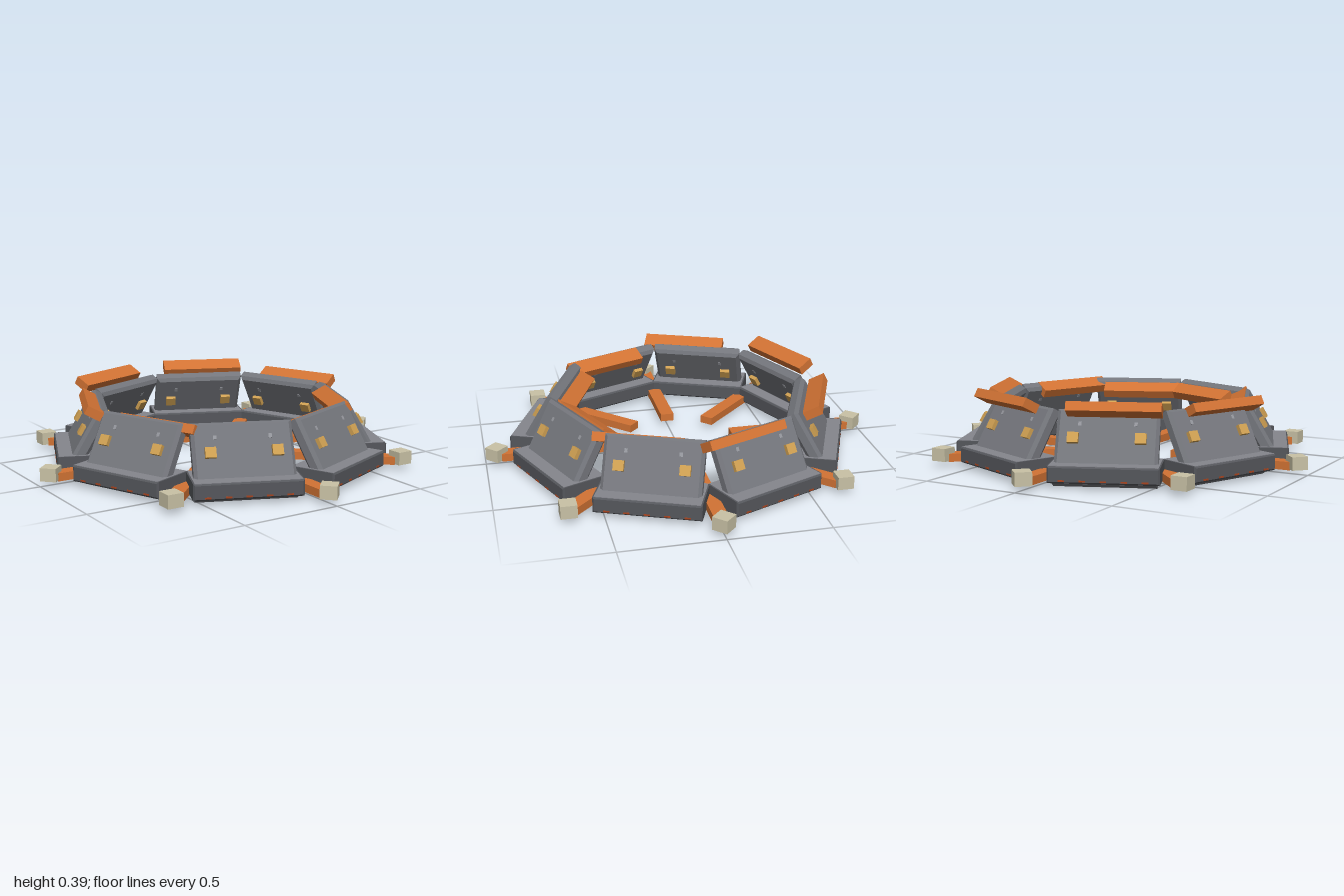
import * as THREE from 'three';

const mat = (name, color) => Object.assign(new THREE.MeshStandardMaterial({ color, flatShading: true }), { name });

export function createModel() {
  const steel = mat('steel grey', 0x74767c);
  const dark = mat('dark steel', 0x55575c);
  const ledge = mat('ledge grey', 0x85868d);
  const worn = mat('worn steel', 0x94969c);
  const orange = mat('orange', 0xd27334);
  const rust = mat('rust', 0xa8441f);
  const gold = mat('gold', 0xcfa052);
  const stone = mat('pale stone', 0xc9c2a6);

  const root = new THREE.Group();
  root.name = 'barricadeRing';

  const add = (parent, name, geo, m, x = 0, y = 0, z = 0) => {
    const mesh = new THREE.Mesh(geo, m);
    mesh.name = name;
    mesh.position.set(x, y, z);
    parent.add(mesh);
    return mesh;
  };
  const box = (w, h, d) => new THREE.BoxGeometry(w, h, d);

  // Box with chamfered edges, centred on the origin
  const chamferBox = (w, h, d, b) => {
    const x = w / 2 - b, y = h / 2 - b;
    const s = new THREE.Shape([[-x, -y], [x, -y], [x, y], [-x, y]].map(p => new THREE.Vector2(...p)));
    const g = new THREE.ExtrudeGeometry(s, {
      depth: d - 2 * b, bevelEnabled: true, bevelThickness: b, bevelSize: b, bevelSegments: 1,
    });
    return g.translate(0, 0, b - d / 2);
  };

  const slabGeo = chamferBox(0.48, 0.364, 0.07, 0.016);
  const baseGeo = chamferBox(0.514, 0.08, 0.235, 0.008);
  const ledgeGeo = box(0.5, 0.003, 0.221);
  const boardGeo = box(0.44, 0.045, 0.085);
  const bracketGeo = box(0.052, 0.05, 0.022);
  const patchGeo = box(0.016, 0.02, 0.004);
  const dashGeo = box(0.03, 0.008, 0.003);
  const spokeGeo = box(0.07, 0.04, 0.64);
  const blockGeo = box(0.08, 0.065, 0.08);

  for (let i = 0; i < 8; i++) {
    // Wall segment: local +z points outward
    const a = Math.PI / 8 + i * Math.PI / 4;
    const seg = new THREE.Group();
    seg.name = 'wallSegment';
    seg.rotation.y = a;
    root.add(seg);

    add(seg, 'base', baseGeo, dark, 0, 0.075, 0.7175);
    add(seg, 'baseTop', ledgeGeo, ledge, 0, 0.115, 0.7175);
    for (let k = -2; k <= 2; k++) {
      add(seg, 'rustDash', dashGeo, rust, k * 0.095, 0.048, 0.835);
    }

    // Inward-leaning slab with brackets and worn patches on both faces
    const wall = new THREE.Group();
    wall.name = 'leaningWall';
    wall.position.set(0, 0.175, 0.686);
    wall.rotation.x = -Math.PI / 6;
    seg.add(wall);
    add(wall, 'slab', slabGeo, steel);
    for (const face of [-1, 1]) {
      for (const side of [-1, 1]) {
        add(wall, 'bracket', bracketGeo, gold, side * 0.157, 0.032, face * 0.044);
        add(wall, 'wornPatch', patchGeo, worn, side * 0.13, 0.105, face * 0.035);
      }
    }

    // Top board, shifted and lowered progressively towards the front
    const s = Math.sin(a), c = Math.cos(a);
    const board = add(seg, 'topBoard', boardGeo, orange, -0.09 * s, 0.32 - 0.04 * c, 0.62 - 0.09 * c);
    board.rotation.x = -0.5;

    // Spoke between segments with its end block turned on its corner
    const spoke = new THREE.Group();
    spoke.name = 'spoke';
    spoke.rotation.y = i * Math.PI / 4;
    root.add(spoke);
    add(spoke, 'beam', spokeGeo, orange, 0, 0.05, 0.6);
    add(spoke, 'endBlock', blockGeo, stone, 0, 0.067, 0.943).rotation.y = Math.PI / 4;
  }
  return root;
}
